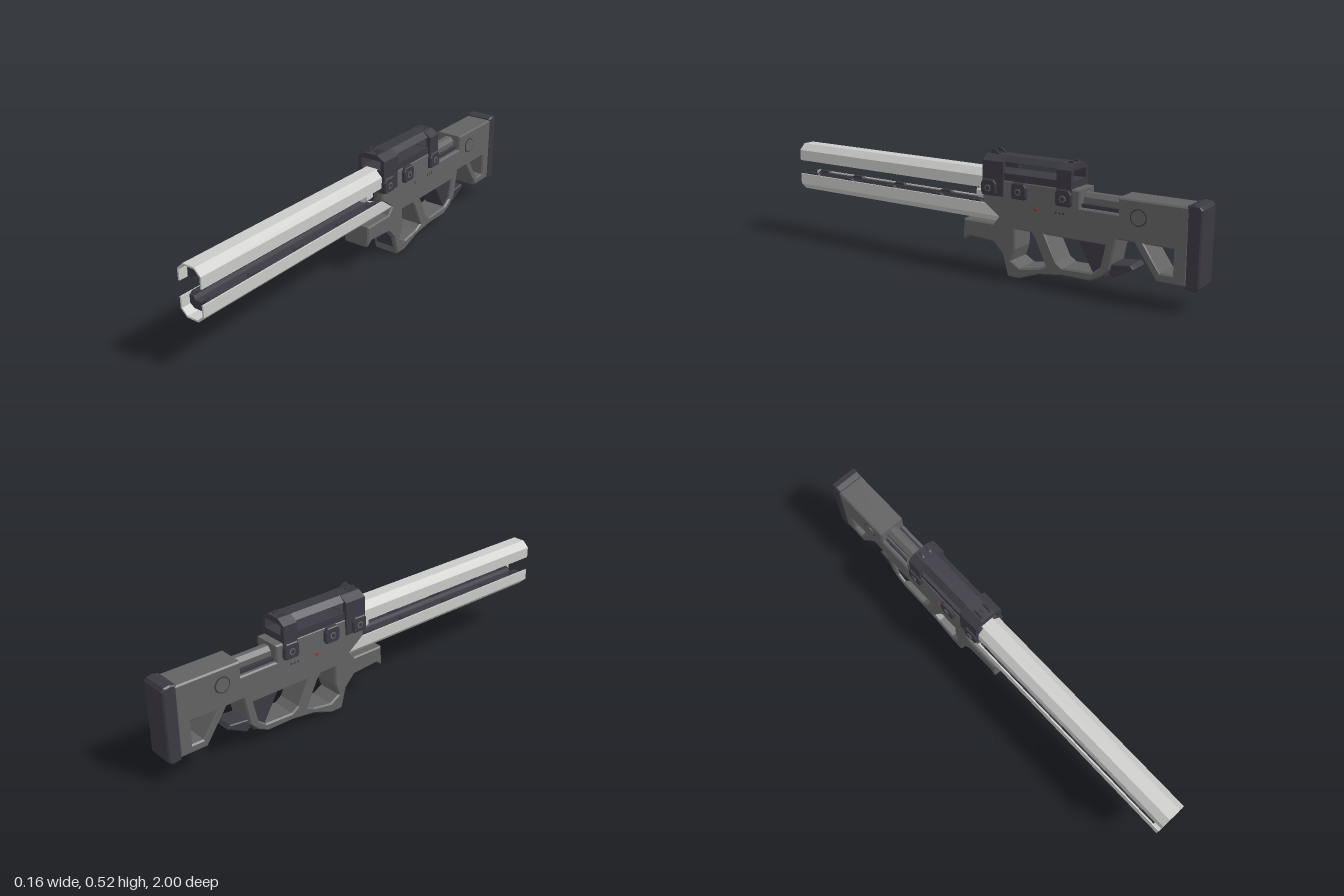
import * as THREE from 'three';

const mat = (name, color) => {
  const m = new THREE.MeshStandardMaterial({ color });
  m.name = name;
  return m;
};

export function createModel() {
  const root = new THREE.Group();
  root.name = 'railRifle';
  const silver = mat('silver', 0xcacac8);
  const grey = mat('grey', 0x626262);
  const dark = mat('charcoal', 0x3b3942);
  const red = mat('red', 0xa03038);

  const add = (name, geo, m, parent = root) => {
    const mesh = new THREE.Mesh(geo, m);
    mesh.name = name;
    parent.add(mesh);
    return mesh;
  };
  const poly = (pts, C = THREE.Shape) => new C(pts.map(p => new THREE.Vector2(p[0], p[1])));
  // Box given by its limits
  const box = (name, m, x0, x1, y0, y1, z0, z1) => {
    const mesh = add(name, new THREE.BoxGeometry(x1 - x0, y1 - y0, z1 - z0), m);
    mesh.position.set((x0 + x1) / 2, (y0 + y1) / 2, (z0 + z1) / 2);
    return mesh;
  };
  // Side outline in (z, y), extruded across x and centred
  const slab = (name, m, pts, half, bevel = 0.004, holes = [], cx = 0) => {
    const s = poly(pts);
    holes.forEach(h => s.holes.push(poly(h, THREE.Path)));
    const g = new THREE.ExtrudeGeometry(s, {
      depth: 2 * (half - bevel), bevelEnabled: bevel > 0, bevelThickness: bevel,
      bevelSize: bevel, bevelOffset: -bevel, bevelSegments: 1
    });
    g.translate(0, 0, bevel - half).rotateY(-Math.PI / 2).translate(cx, 0, 0);
    return add(name, g, m);
  };
  // Front outline in (x, y), extruded from z0 to z1
  const along = (name, m, pts, z0, z1, hole) => {
    const s = poly(pts);
    if (hole) s.holes.push(poly(hole, THREE.Path));
    const g = new THREE.ExtrudeGeometry(s, { depth: z1 - z0, bevelEnabled: false });
    return add(name, g.translate(0, 0, z0), m);
  };
  // Cylinder lying along x or z
  const rod = (name, m, r, len, sides, axis, x, y, z) => {
    const g = new THREE.CylinderGeometry(r, r, len, sides).toNonIndexed();
    g.rotateY(Math.PI / sides);
    if (axis === 'x') g.rotateZ(Math.PI / 2); else g.rotateX(Math.PI / 2);
    if (sides <= 8) g.computeVertexNormals();
    return add(name, g.translate(x, y, z), m);
  };

  // Receiver, grips and skeleton stock in one silhouette
  slab('receiverAndStock', grey, [
    [-0.05, 0.405], [-0.05, 0.3], [-0.125, 0.245], [-0.1, 0.215], [0.05, 0.215],
    [0.055, 0.125], [0.025, 0.145], [-0.1, 0.137], [-0.145, 0.09], [-0.17, 0],
    [-0.225, 0], [-0.32, 0.035], [-0.43, 0.05], [-0.55, 0.05], [-0.6, 0.075],
    [-0.635, 0.11], [-0.66, 0.235], [-0.735, 0.235], [-0.83, 0.1], [-0.95, 0.1],
    [-0.95, 0.4], [-0.665, 0.4], [-0.665, 0.335], [-0.5, 0.335], [-0.5, 0.405]
  ], 0.061, 0.006, [
    [[-0.205, 0.205], [-0.28, 0.205], [-0.3, 0.18], [-0.35, 0.075], [-0.32, 0.06], [-0.23, 0.045], [-0.187, 0.07], [-0.205, 0.12]],
    [[-0.345, 0.205], [-0.615, 0.205], [-0.595, 0.11], [-0.56, 0.085], [-0.43, 0.08], [-0.4, 0.1]],
    [[-0.775, 0.235], [-0.895, 0.235], [-0.895, 0.135], [-0.845, 0.135]]
  ]);
  slab('rearGripCore', dark, [[-0.48, 0.215], [-0.63, 0.215], [-0.61, 0.07], [-0.565, 0.07]], 0.048);
  slab('trigger', dark, [[-0.262, 0.215], [-0.3, 0.215], [-0.295, 0.175], [-0.275, 0.18]], 0.012, 0.002);
  slab('rearCatch', dark, [[-0.635, 0.13], [-0.72, 0.14], [-0.733, 0.125], [-0.645, 0.078], [-0.63, 0.09]], 0.05);
  slab('gripFrontPad', dark, [[-0.095, 0.139], [-0.14, 0.093], [-0.162, 0.03], [-0.168, 0.03], [-0.15, 0.1], [-0.1, 0.145]], 0.042, 0);

  // Butt pad
  slab('buttPad', dark, [
    [-0.94, 0.405], [-0.965, 0.412], [-0.99, 0.408], [-1, 0.395], [-1, 0.1], [-0.985, 0.086], [-0.945, 0.09]
  ], 0.062, 0.006);

  // Tube bridging receiver and stock
  rod('stockTube', grey, 0.03, 0.18, 8, 'z', 0, 0.362, -0.58);
  for (const s of [-1, 1]) box('stockTubeGuide', dark, s * 0.038 - 0.005, s * 0.038 + 0.005, 0.335, 0.35, -0.66, -0.5);

  // Twin rails: open shells with dark cores and lugs
  const mid = 0.3275;
  for (const s of [1, -1]) {
    const label = s > 0 ? 'upper' : 'lower';
    const end = s > 0 ? -0.06 : -0.135;
    const prof = [
      [-0.057, 0.032], [-0.057, 0.08], [-0.028, 0.108], [0.028, 0.108], [0.057, 0.08], [0.057, 0.032],
      [0.05, 0.032], [0.05, 0.077], [0.025, 0.101], [-0.025, 0.101], [-0.05, 0.077], [-0.05, 0.032]
    ].map(p => [p[0], mid + s * p[1]]);
    along(label + 'RailShell', silver, prof, end, 1);
    const core = [
      [-0.045, 0.036], [-0.045, 0.07], [-0.025, 0.085], [0.025, 0.085], [0.045, 0.07], [0.045, 0.036],
      [0.025, 0.036], [0.018, 0.05], [-0.018, 0.05], [-0.025, 0.036]
    ].map(p => [p[0], mid + s * p[1]]);
    along(label + 'RailCore', dark, core, -0.05, 0.965);
    for (const z of [0.93, 0.72, 0.47, 0.21, 0])
      for (const x of [-0.036, 0.036])
        slab(label + 'RailLug', dark, [[z - 0.035, mid + s * 0.04], [z + 0.035, mid + s * 0.04],
          [z + 0.022, mid + s * 0.026], [z - 0.022, mid + s * 0.026]], 0.009, 0, [], x);
  }
  rod('innerMuzzle', silver, 0.027, 0.07, 8, 'z', 0, mid, -0.025);
  rod('innerMuzzleCollar', dark, 0.035, 0.03, 8, 'z', 0, mid, -0.045);

  // Carry handle: base cover, two arches and a top bar
  box('handleBase', dark, -0.058, 0.058, 0.385, 0.432, -0.465, -0.055);
  const arch = [
    [-0.068, 0.335], [-0.068, 0.478], [-0.032, 0.5], [0.032, 0.5],
    [0.068, 0.478], [0.068, 0.335]
  ];
  const opening = [[-0.049, 0.434], [0.049, 0.434], [0.049, 0.476], [-0.049, 0.476]];
  along('frontArch', dark, arch, -0.15, -0.05, opening).scale.set(1, 1, 1);
  along('rearArch', dark, arch, -0.465, -0.4, opening);
  along('handleBar', dark, [[-0.055, 0.478], [-0.03, 0.5], [0.03, 0.5], [0.055, 0.478]], -0.41, -0.14);
  for (let i = 0; i < 5; i++) {
    const z = -0.18 - i * 0.046;
    box('handleFingerRib', dark, -0.045, 0.045, 0.473, 0.48, z - 0.012, z + 0.012);
  }
  // Sights
  for (const s of [-1, 1]) {
    slab('frontSightEar', dark, [[-0.06, 0.498], [-0.07, 0.52], [-0.085, 0.518], [-0.115, 0.498]], 0.004, 0, [], s * 0.022);
    slab('rearSightEar', dark, [[-0.42, 0.498], [-0.43, 0.508], [-0.445, 0.508], [-0.455, 0.498]], 0.004, 0, [], s * 0.018);
  }
  box('sightPost', dark, -0.003, 0.003, 0.498, 0.507, -0.1, -0.08);

  // Side details, mirrored
  for (const s of [-1, 1]) {
    for (const z of [-0.083, -0.228, -0.433]) {
      slab('handleClamp', dark, [
        [z - 0.036, 0.345], [z - 0.036, 0.385], [z - 0.026, 0.402], [z + 0.026, 0.402],
        [z + 0.036, 0.385], [z + 0.036, 0.345], [z + 0.028, 0.335], [z - 0.028, 0.335]
      ], 0.011, 0.004, [], s * 0.066);
      rod('clampBolt', grey, 0.015, 0.004, 8, 'x', s * 0.077, 0.366, z);
      rod('clampBoltCentre', dark, 0.009, 0.004, 8, 'x', s * 0.0785, 0.366, z);
    }
    rod('stockButtonRim', dark, 0.034, 0.004, 20, 'x', s * 0.061, 0.333, -0.75);
    rod('stockButton', grey, 0.029, 0.007, 20, 'x', s * 0.061, 0.333, -0.75);
    rod('redMark', red, 0.008, 0.002, 6, 'x', s * 0.061, 0.3, -0.3);
    for (const z of [-0.395, -0.412, -0.429])
      rod('sideVent', dark, 0.005, 0.002, 6, 'x', s * 0.061, 0.303, z);
  }
  return root;
}
